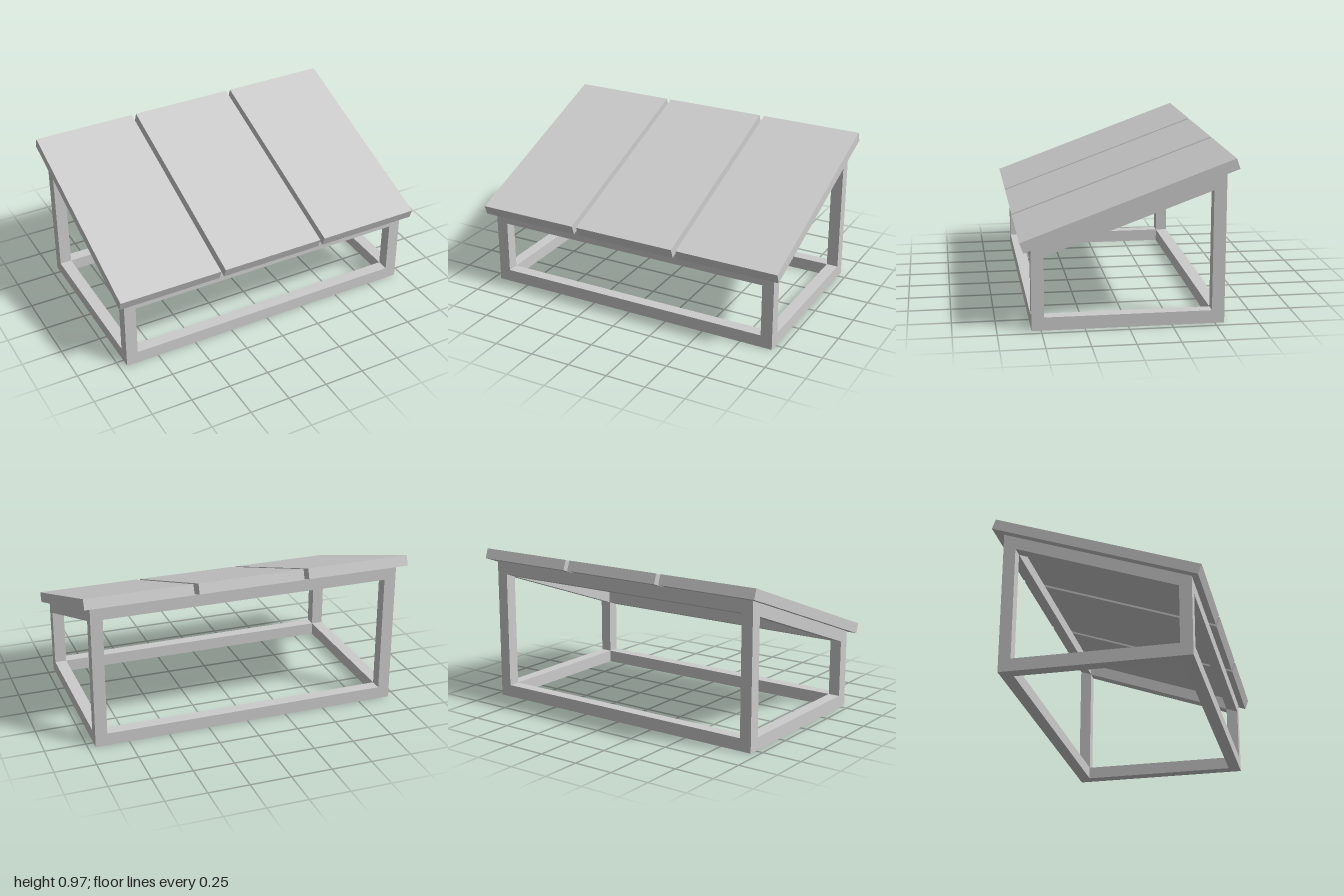
import * as THREE from 'three';

const SLOPE = THREE.MathUtils.degToRad(20);
const BAR = 0.073;                 // width of the frame bars
const FX = 0.955, FZ = 0.555;      // outer half sizes of the frame
const underside = (z) => 0.685 - z * Math.tan(SLOPE);   // plane the panels rest on
const railBottom = (z) => underside(z) - 0.078;

const material = new THREE.MeshStandardMaterial({ color: 0xcccccc, flatShading: true });
const toPoints = (list) => list.map(([z, y]) => new THREE.Vector2(z, y));

// Extrudes a (z, y) outline along x, centred on the given x
function extrudeAcross(name, outline, width, x, hole) {
  const shape = new THREE.Shape(toPoints(outline));
  if (hole) shape.holes.push(new THREE.Path(toPoints(hole)));
  const geometry = new THREE.ExtrudeGeometry(shape, { depth: width, bevelEnabled: false });
  geometry.translate(0, 0, -width / 2);
  geometry.rotateY(-Math.PI / 2);
  const mesh = new THREE.Mesh(geometry, material);
  mesh.name = name;
  mesh.position.x = x;
  return mesh;
}

export function createModel() {
  const group = new THREE.Group();
  group.name = 'tiltedPanelStand';
  const inZ = FZ - BAR;
  const span = 2 * (FX - BAR);

  // Side frames: two legs, a base rail and a sloping rail in one piece
  for (const [side, name] of [[1, 'leftSideFrame'], [-1, 'rightSideFrame']]) {
    group.add(extrudeAcross(
      name,
      [[-FZ, 0], [FZ, 0], [FZ, underside(FZ)], [-FZ, underside(-FZ)]],
      BAR, side * (FX - BAR / 2),
      [[-inZ, 0.077], [-inZ, railBottom(-inZ)], [inZ, railBottom(inZ)], [inZ, 0.077]],
    ));
  }

  // Cross rails at front and back, with the upper ones cut to the slope
  for (const [name, z0, z1] of [['front', inZ, FZ], ['back', -FZ, -inZ]]) {
    group.add(extrudeAcross(name + 'BaseRail', [[z0, 0], [z1, 0], [z1, 0.077], [z0, 0.077]], span, 0));
    group.add(extrudeAcross(
      name + 'UpperRail',
      [[z0, railBottom(z0)], [z1, railBottom(z1)], [z1, underside(z1)], [z0, underside(z0)]],
      span, 0,
    ));
  }

  // Three tilted panels with narrow gaps between them
  const thickness = 0.0635, length = 1.293, zMid = -0.01;
  const names = ['rightPanel', 'middlePanel', 'leftPanel'];
  names.forEach((name, i) => {
    const geometry = new THREE.BoxGeometry(i === 1 ? 0.65 : 0.645, thickness, length);
    geometry.translate(0, thickness / 2, 0);
    const panel = new THREE.Mesh(geometry, material);
    panel.name = name;
    panel.rotation.x = SLOPE;
    panel.position.set((i - 1) * 0.6775, underside(zMid), zMid);
    group.add(panel);
  });

  return group;
}
